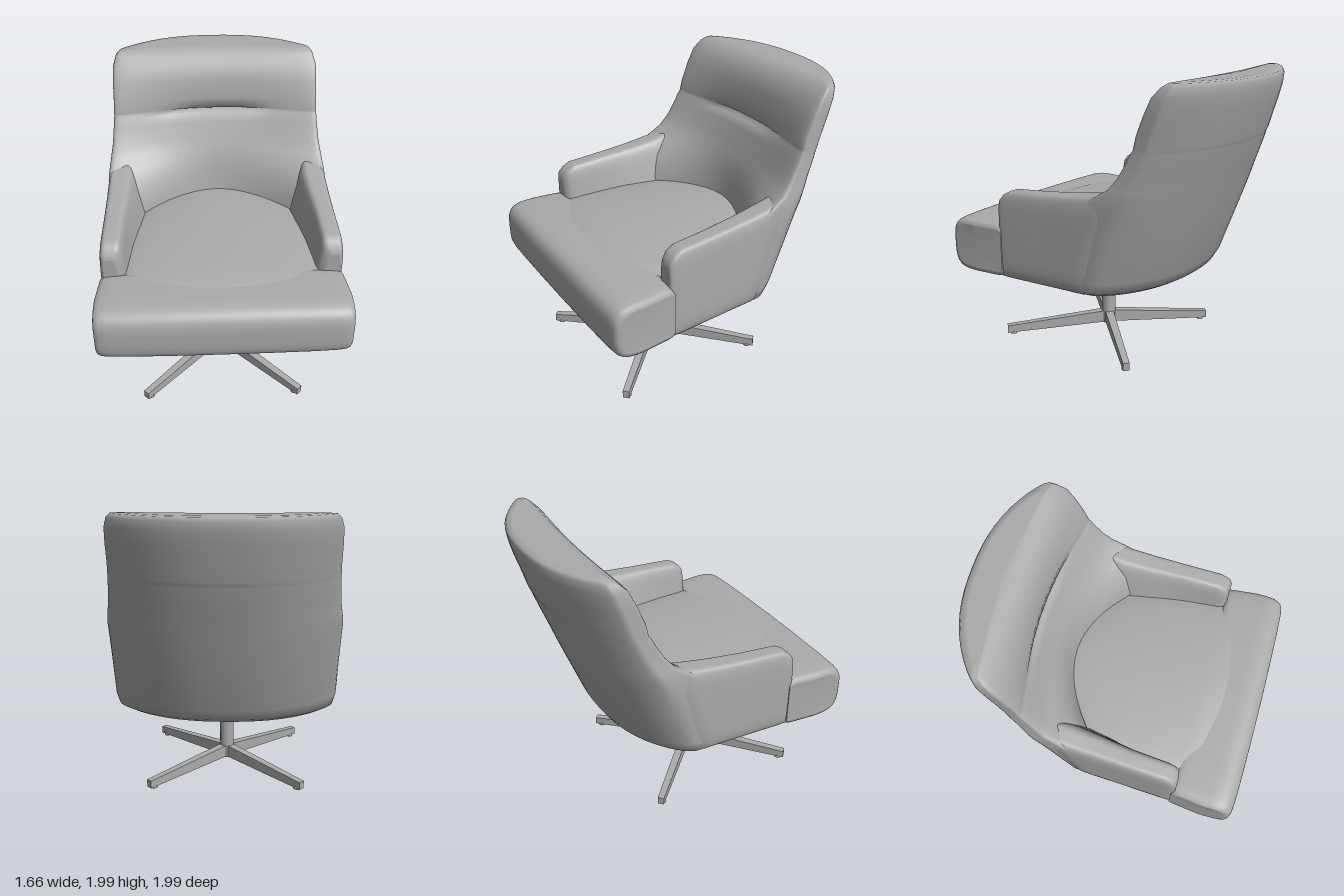
import * as THREE from 'three';

const lerp = THREE.MathUtils.lerp;

// Rounded-square outline in [-1, 1]; a higher k gives tighter corners.
// kBack sets the corners on the negative first axis.
function outline(k, kBack = k, n = 18) {
  const pts = [];
  for (let side = 0; side < 4; side++) {
    for (let i = 0; i < n; i++) {
      const t = -1 + (2 * i) / n;
      const [a, b] = [[t, -1], [1, t], [-t, 1], [-1, -t]][side];
      const e = a < 0 ? kBack : k;
      const r = (Math.abs(a) ** e + Math.abs(b) ** e) ** (1 / e);
      pts.push([a / r, b / r]);
    }
  }
  return pts;
}

// Skin a list of closed rings and cap both ends; faces are turned outward.
function loft(rings) {
  const n = rings[0].length, pos = [], idx = [];
  rings.forEach((ring) => ring.forEach((p) => pos.push(...p)));
  for (let j = 0; j < rings.length - 1; j++) {
    for (let i = 0; i < n; i++) {
      const a = j * n + i, b = j * n + ((i + 1) % n);
      idx.push(a, b, a + n, b, b + n, a + n);
    }
  }
  [rings[0], rings[rings.length - 1]].forEach((ring, end) => {
    const base = pos.length / 3;
    const c = [0, 1, 2].map((m) => ring.reduce((s, p) => s + p[m], 0) / n);
    ring.forEach((p) => pos.push(...p));
    pos.push(...c);
    for (let i = 0; i < n; i++) {
      const a = base + i, b = base + ((i + 1) % n);
      if (end) idx.push(a, b, base + n);
      else idx.push(b, a, base + n);
    }
  });
  const v = (i) => new THREE.Vector3().fromArray(pos, i * 3);
  let volume = 0;
  for (let i = 0; i < idx.length; i += 3) volume += v(idx[i]).dot(v(idx[i + 1]).cross(v(idx[i + 2])));
  if (volume < 0) idx.reverse();
  const g = new THREE.BufferGeometry();
  g.setAttribute('position', new THREE.Float32BufferAttribute(pos, 3));
  g.setIndex(idx);
  g.computeVertexNormals();
  return g;
}

// Curved, leaning back: horizontal crescents stacked upward.
function backrestGeometry() {
  // y, half width, back centre z, back corner z, front centre z, front end z
  const rows = [
    [0.57, 0.70, -0.47, -0.20, -0.30, 0.10],
    [0.60, 0.755, -0.52, -0.22, -0.32, 0.12],
    [0.68, 0.775, -0.57, -0.25, -0.33, 0.14],
    [1.00, 0.78, -0.69, -0.38, -0.38, 0.12],
    [1.15, 0.78, -0.745, -0.44, -0.41, 0.00],
    [1.25, 0.778, -0.78, -0.48, -0.435, -0.16],
    [1.32, 0.765, -0.805, -0.51, -0.46, -0.29],
    [1.40, 0.75, -0.835, -0.545, -0.495, -0.36],
    [1.50, 0.74, -0.87, -0.59, -0.535, -0.42],
    [1.56, 0.735, -0.89, -0.61, -0.56, -0.45],
    [1.577, 0.732, -0.895, -0.62, -0.575, -0.465],
    [1.595, 0.733, -0.905, -0.625, -0.575, -0.47],
    [1.67, 0.73, -0.925, -0.655, -0.575, -0.485],
    [1.80, 0.73, -0.965, -0.70, -0.59, -0.54],
    [1.90, 0.725, -0.99, -0.735, -0.63, -0.59],
    [1.96, 0.705, -0.997, -0.755, -0.685, -0.65],
    [1.985, 0.68, -0.985, -0.76, -0.74, -0.69],
    [1.99, 0.60, -0.95, -0.77, -0.79, -0.72],
  ];
  return loft(rows.map(([y, w, zb, zc, zf, ze]) => outline(7).map(([a, b]) => {
    // Short stitched slot below the headrest
    const slot = 0.06 * Math.exp(-(((y - 1.577) / 0.01) ** 2) - (a / 0.45) ** 4);
    const back = lerp(zb, zc, Math.abs(a) ** 2.4), front = lerp(zf, ze, a * a) - slot;
    return [a * w, y, lerp(back, front, (b + 1) / 2)];
  })));
}

// Left arm: upright sections running from the front and sinking into the back.
function armGeometry() {
  // z, inner x at bottom, inner x at top, outer x, top y, backward lean
  const rows = [
    [0.56, 0.65, 0.70, 0.78, 1.09, 0],
    [0.55, 0.62, 0.67, 0.797, 1.135, 0],
    [0.52, 0.60, 0.655, 0.80, 1.168, 0],
    [0.47, 0.59, 0.65, 0.80, 1.195, 0],
    [0.25, 0.53, 0.64, 0.793, 1.215, 0.05],
    [0.08, 0.46, 0.62, 0.788, 1.238, 0.15],
    [-0.03, 0.43, 0.605, 0.785, 1.265, 0.26],
    [-0.10, 0.44, 0.61, 0.78, 1.295, 0.32],
    [-0.16, 0.48, 0.63, 0.735, 1.28, 0.42],
  ];
  return loft(rows.map(([z, ib, it, xo, top, lean]) => outline(6).map(([a, b]) => {
    const h = (b + 1) / 2, y = lerp(0.572, top, h);
    return [lerp(lerp(ib, it, h), xo, (a + 1) / 2), y, z - lean * (y - 0.57)];
  })));
}

// Crowned seat between the arms.
function seatGeometry() {
  // z, half width, top y at the centre
  const rows = [[0.84, 0.70, 0.935], [0.75, 0.71, 0.967], [0.65, 0.71, 0.989], [0.55, 0.71, 1.0],
    [0.35, 0.69, 1.01], [0.1, 0.66, 1.018], [-0.15, 0.58, 1.02], [-0.3, 0.48, 1.015], [-0.4, 0.38, 1.01]];
  return loft(rows.map(([z, w, top]) => outline(12).map(([a, b]) => {
    return [a * w, lerp(0.575, top - 0.05 * a * a, (b + 1) / 2), z];
  })));
}

// Front roll, wider than the arms, rounded at the front and running under them.
function frontRollGeometry() {
  // x and section scale for the rounded ends
  const half = [[0, 1], [0.3, 1], [0.6, 1], [0.74, 0.99], [0.79, 0.97], [0.815, 0.93], [0.827, 0.86], [0.83, 0.78]];
  const rows = [...half.slice(1).map(([x, s]) => [-x, s]).reverse(), ...half];
  return loft(rows.map(([x, s]) => outline(3.6, 14).map(([a, b]) => {
    const crown = 0.012 * (1 - (x / 0.83) ** 2);
    const top = b > 0 ? b * crown : 0;
    const depth = a > 0 ? 0.215 * s + crown : 0.23;
    return [x * (1 - 0.03 * Math.max(0, -a)), 0.767 + b * 0.195 * s + top, 0.765 + a * depth];
  })));
}

// Tapered foot arm running along +x from the column.
function legGeometry() {
  const g = new THREE.BoxGeometry(0.765, 1, 1, 8, 1, 1);
  g.translate(0.3825, 0, 0);
  const p = g.attributes.position;
  for (let i = 0; i < p.count; i++) {
    const t = p.getX(i) / 0.765;
    const up = p.getY(i) > 0;
    p.setY(i, up ? lerp(0.135, 0.065, t) : lerp(0.045, 0.01, t));
    p.setZ(i, p.getZ(i) * lerp(0.062, 0.045, t));
  }
  g.computeVertexNormals();
  return g;
}

export function createModel() {
  const model = new THREE.Group();
  model.name = 'swivelLoungeChair';
  const grey = new THREE.MeshStandardMaterial({ color: 0xaaaaaa });
  grey.name = 'grey';
  const add = (name, geometry, parent = model) => {
    const mesh = new THREE.Mesh(geometry, grey);
    mesh.name = name;
    parent.add(mesh);
    return mesh;
  };

  // Upholstery
  add('backrest', backrestGeometry());
  add('seat', seatGeometry());
  add('frontRoll', frontRollGeometry());
  const arm = armGeometry();
  add('leftArm', arm);
  const mirrored = arm.clone().scale(-1, 1, 1);
  mirrored.setIndex(Array.from(arm.index.array).reverse());
  mirrored.computeVertexNormals();
  add('rightArm', mirrored);

  // Swivel base
  const base = new THREE.Group();
  base.name = 'swivelBase';
  base.position.z = 0.225;
  model.add(base);
  add('column', new THREE.CylinderGeometry(0.052, 0.052, 0.52, 32), base).position.y = 0.3;
  add('flange', new THREE.CylinderGeometry(0.102, 0.098, 0.035, 40), base).position.y = 0.562;
  for (let i = 0; i < 4; i++) {
    const leg = new THREE.Group();
    leg.name = 'leg' + (i + 1);
    leg.rotation.y = Math.PI / 4 + (i * Math.PI) / 2;
    base.add(leg);
    add('legBar', legGeometry(), leg);
    add('glide', new THREE.CylinderGeometry(0.026, 0.026, 0.02, 20), leg).position.set(0.72, 0.01, 0);
  }
  return model;
}
